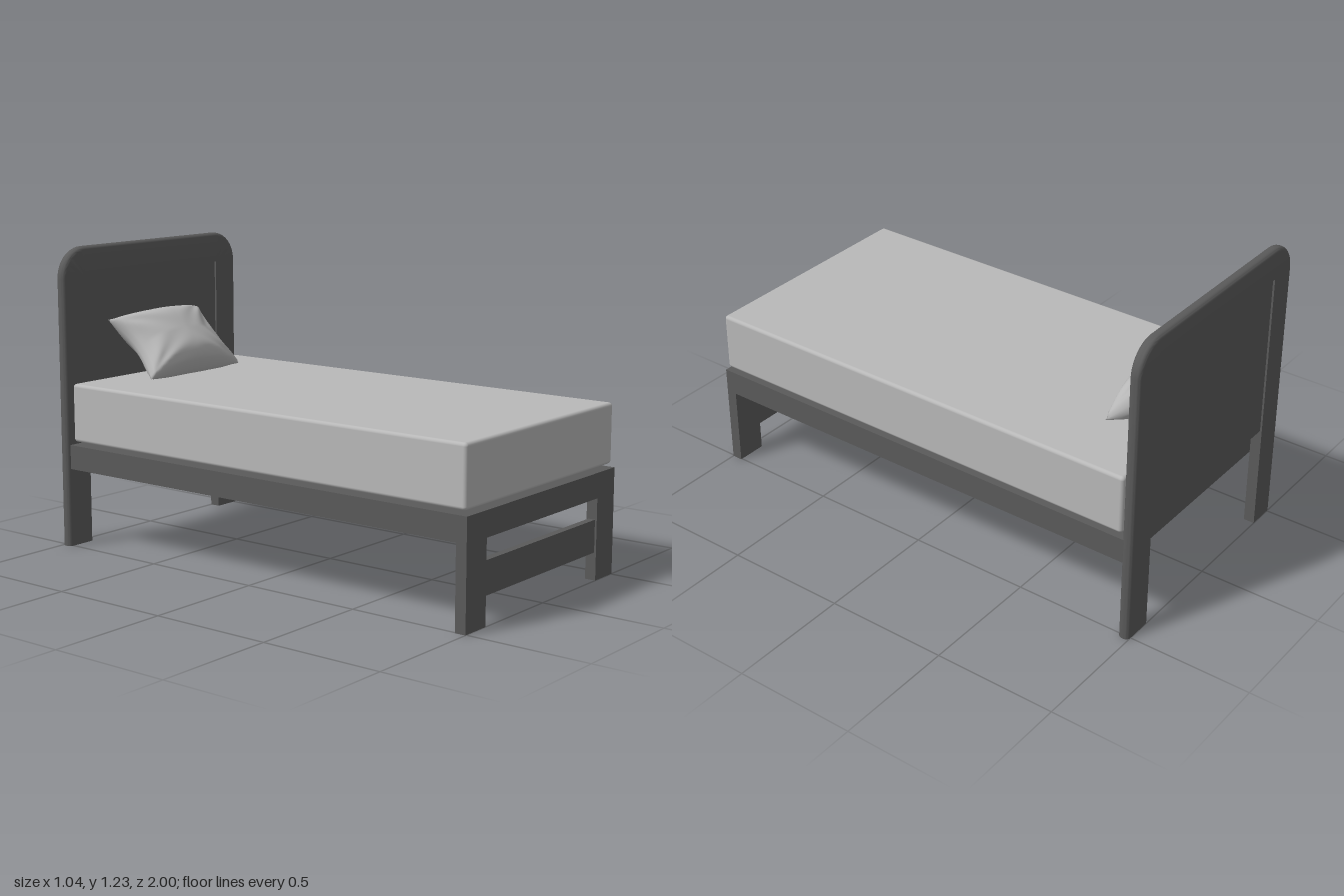
import * as THREE from 'three';
import { mergeGeometries, mergeVertices, toCreasedNormals } from 'three/addons/utils/BufferGeometryUtils.js';
import { RoundedBoxGeometry } from 'three/addons/geometries/RoundedBoxGeometry.js';

const wood = new THREE.MeshStandardMaterial({ color: 0x5a5a5a });
wood.name = 'dark wood';
const fabric = new THREE.MeshStandardMaterial({ color: 0xb8b8b8 });
fabric.name = 'light fabric';

// Box given by its lower and upper limits on each axis
function box(name, material, [x0, x1], [y0, y1], [z0, z1], radius = 0) {
  const size = [x1 - x0, y1 - y0, z1 - z0];
  const geometry = radius ? new RoundedBoxGeometry(...size, 3, radius) : new THREE.BoxGeometry(...size);
  const mesh = new THREE.Mesh(geometry, material);
  mesh.name = name;
  mesh.position.set((x0 + x1) / 2, (y0 + y1) / 2, (z0 + z1) / 2);
  return mesh;
}

// Headboard arch: a section with a rounded outer edge swept up, over and down
function archGeometry() {
  const innerX = 0.395, innerY = 1.105, width = 0.125, zBack = -1, zFront = -0.955, r = 0.018;
  const section = [[0, zBack]];
  for (let i = 0; i <= 5; i++) {
    const a = (i / 5) * Math.PI / 2;
    section.push([width - r + r * Math.sin(a), zBack + r - r * Math.cos(a)]);
  }
  for (let i = 0; i <= 5; i++) {
    const a = (i / 5) * Math.PI / 2;
    section.push([width - r + r * Math.cos(a), zFront - r + r * Math.sin(a)]);
  }
  section.push([0, zFront]);

  const stations = [[innerX, 0, 0]];
  for (let i = 0; i <= 12; i++) stations.push([innerX, innerY, (i / 12) * Math.PI / 2]);
  for (let i = 0; i <= 12; i++) stations.push([-innerX, innerY, (1 + i / 12) * Math.PI / 2]);
  stations.push([-innerX, 0, Math.PI]);

  const points = [], index = [], n = section.length, last = (stations.length - 1) * n;
  for (const [x, y, a] of stations) {
    for (const [d, z] of section) points.push(x + d * Math.cos(a), y + d * Math.sin(a), z);
  }
  for (let i = 0; i < stations.length - 1; i++) {
    for (let j = 0; j < n; j++) {
      const a = i * n + j, b = i * n + (j + 1) % n;
      index.push(a, a + n, b, a + n, b + n, b);
    }
  }
  for (let j = 1; j < n - 1; j++) {
    index.push(0, j, j + 1, last, last + j + 1, last + j);
  }
  const geometry = new THREE.BufferGeometry();
  geometry.setAttribute('position', new THREE.Float32BufferAttribute(points, 3));
  geometry.setIndex(index);
  return toCreasedNormals(geometry, 0.6);
}

// Pillow: two sheets puffed apart, pinched between the corners and leaned back
function pillowGeometry() {
  const sheet = (side) => {
    const g = new THREE.PlaneGeometry(2, 2, 48, 32);
    if (side < 0) g.rotateY(Math.PI);
    g.deleteAttribute('uv');
    g.deleteAttribute('normal');
    const p = g.attributes.position;
    for (let i = 0; i < p.count; i++) {
      const u = p.getX(i), v = p.getY(i);
      const fu = Math.max(0, 1 - u * u), fv = Math.max(0, 1 - v * v);
      const puff = Math.pow(fu, 0.55) * Math.sqrt(Math.max(0, 1 - v ** 4));
      // folds fanning out from the corners
      const fold = Math.sin(14 * Math.atan2(1.15 - Math.abs(v), 1.15 - Math.abs(u)) + 2 * u) * 0.005
        * Math.min(1, 4 * fu * fv) * Math.abs(u);
      const x = 0.273 * u * (1 - 0.17 * fv);
      const t = 0.165 * v * (1 - 0.1 * fu * (v < 0 ? 1 : 0.3));
      const w = side * (0.1 * puff + fold);
      p.setXYZ(i, x - 0.027,
        Math.max(0.681, 0.81 + 0.683 * t + 0.73 * w),
        Math.max(-0.95, -0.81 - 0.73 * t + 0.683 * w));
    }
    return g;
  };
  const geometry = mergeVertices(mergeGeometries([sheet(1), sheet(-1)]), 1e-5);
  geometry.computeVertexNormals();
  return geometry;
}

export function createModel() {
  const bed = new THREE.Group();
  bed.name = 'bed';

  // Headboard
  const arch = new THREE.Mesh(archGeometry(), wood);
  arch.name = 'headboardArch';
  bed.add(arch, box('headboardPanel', wood, [-0.395, 0.395], [0.435, 1.105], [-0.992, -0.963]));

  // Base and front legs
  bed.add(box('bedFrame', wood, [-0.505, 0.505], [0.325, 0.425], [-0.955, 1]));
  bed.add(box('leftLeg', wood, [0.38, 0.505], [0, 0.325], [0.955, 1]));
  bed.add(box('rightLeg', wood, [-0.505, -0.38], [0, 0.325], [0.955, 1]));
  bed.add(box('footCrossbar', wood, [-0.38, 0.38], [0.11, 0.24], [0.963, 0.992]));

  // Mattress on its narrower underside
  bed.add(box('mattressBase', fabric, [-0.435, 0.435], [0.42, 0.45], [-0.88, 0.93]));
  bed.add(box('mattress', fabric, [-0.5, 0.5], [0.44, 0.68], [-0.94, 0.99], 0.014));

  // Pillow
  const pillow = new THREE.Mesh(pillowGeometry(), fabric);
  pillow.name = 'pillow';
  bed.add(pillow);

  return bed;
}
